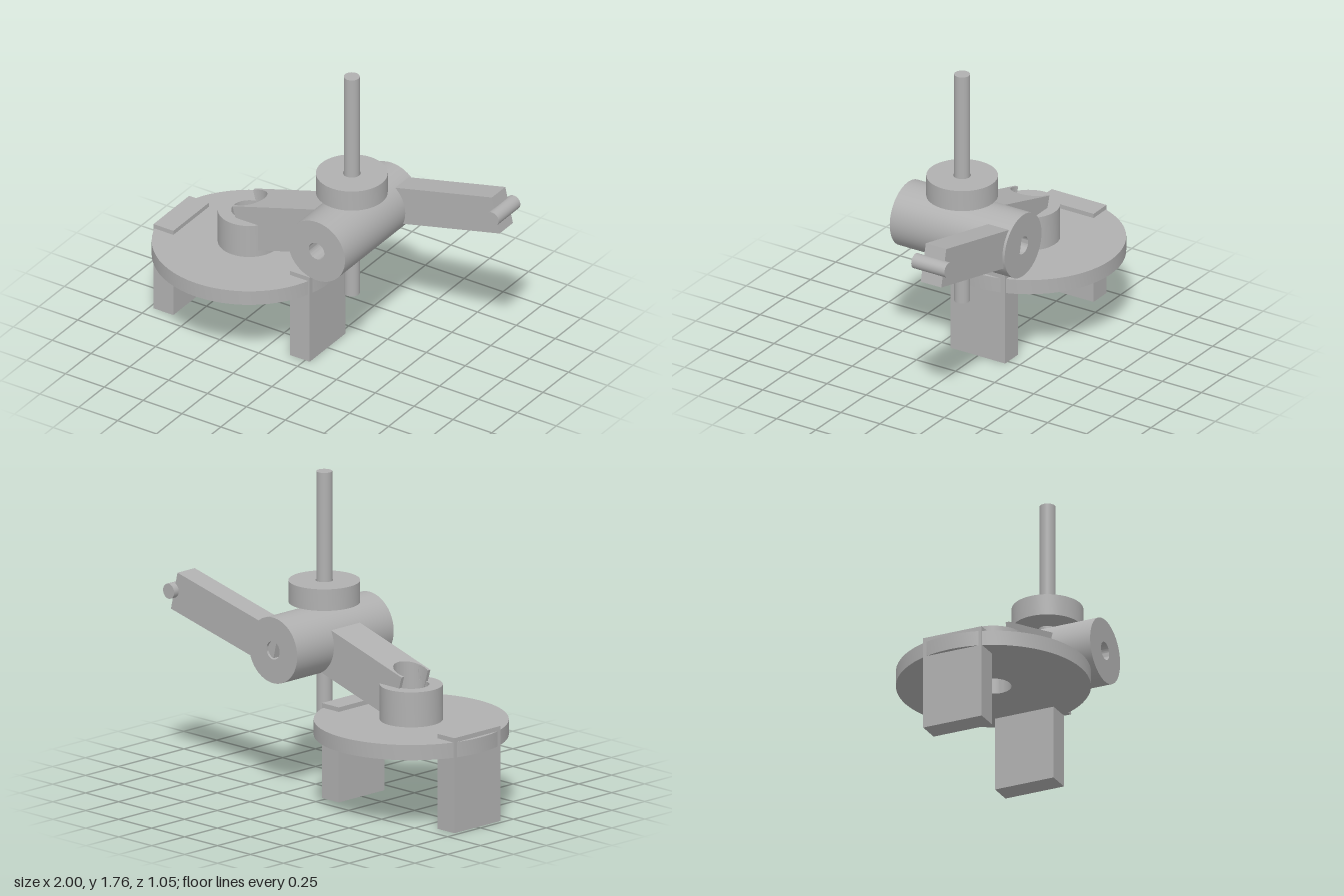
import * as THREE from 'three';
import { toCreasedNormals } from 'three/addons/utils/BufferGeometryUtils.js';

const grey = new THREE.MeshStandardMaterial({ color: 0xb0b0b0 });
grey.name = 'plain grey';

export function createModel() {
  const model = new THREE.Group();
  model.name = 'pivotArmStand';

  const add = (name, geometry, x = 0, y = 0, z = 0) => {
    const mesh = new THREE.Mesh(geometry, grey);
    mesh.name = name;
    mesh.position.set(x, y, z);
    model.add(mesh);
    return mesh;
  };
  // Turned part: closed profile of [radius, height] pairs, sharp at its rims
  const turned = (profile) => toCreasedNormals(new THREE.LatheGeometry(
    [...profile, profile[0]].map(([r, h]) => new THREE.Vector2(r, h)), 64), 0.6);
  const ring = (inner, outer, h) => turned([[inner, 0], [outer, 0], [outer, h], [inner, h]]);

  const baseX = -0.475, bore = 0.097;
  const hubX = 0.185, hubY = 0.835;

  // Round base with raised boss, bored right through
  add('baseAndBoss', turned([
    [bore, 0.42], [0.525, 0.42], [0.525, 0.505], [0.17, 0.505], [0.17, 0.7], [bore, 0.7],
  ]), baseX);

  // Two block feet that poke slightly above the base
  for (const [name, x] of [['leftFoot', -0.035], ['rightFoot', -0.9125]]) {
    add(name, new THREE.BoxGeometry(0.128, 0.53, 0.35), x, 0.265, 0);
  }

  // Lower arm: plan outline with the bore cut out of its end, then tilted up to the hub
  const tilt = 0.287, half = 0.13, width = 0.11, endX = -0.474;
  const tipX = endX - half * Math.sin(tilt);
  const cut = Math.acos((tipX - baseX) / bore);
  const plan = new THREE.Shape();
  plan.moveTo(tipX, -width);
  plan.lineTo(hubX, -width);
  plan.lineTo(hubX, width);
  plan.lineTo(tipX, width);
  plan.lineTo(tipX, bore * Math.sin(cut));
  plan.absarc(baseX, 0, bore, cut, -cut, true);
  const armGeometry = new THREE.ExtrudeGeometry(plan, { depth: 1, bevelEnabled: false, curveSegments: 32 });
  armGeometry.rotateX(-Math.PI / 2);
  const p = armGeometry.attributes.position;
  for (let i = 0; i < p.count; i++) {
    const t = p.getY(i) > 0.5 ? half : -half;
    const lean = -t * Math.sin(tilt);
    let x = Math.max(p.getX(i), endX + lean);
    if (x > hubX - 0.01) x = hubX + lean;
    p.setX(i, x);
    p.setY(i, hubY + (x - hubX) * Math.tan(tilt) + t / Math.cos(tilt));
  }
  armGeometry.computeVertexNormals();
  add('lowerArm', toCreasedNormals(armGeometry, 0.5));

  // Horizontal hub barrel with a small bore along its axis
  const hubGeometry = ring(0.05, 0.183, 0.735);
  hubGeometry.rotateX(Math.PI / 2);
  add('hubBarrel', hubGeometry, hubX, hubY, -0.39);

  // Upper arm, starting on the hub axis
  const reach = 0.786, rise = 0.232;
  const upper = add('upperArm', new THREE.BoxGeometry(reach, 0.216, 0.131),
    hubX + Math.cos(rise) * reach / 2, hubY + Math.sin(rise) * reach / 2, -0.31);
  upper.rotation.z = rise;

  // Cross pin at the tip of the upper arm
  const pin = new THREE.CylinderGeometry(0.042, 0.042, 0.212, 32);
  pin.rotateX(Math.PI / 2);
  add('tipPin', pin, 0.957, 1.018, -0.305);

  // Upright rod through the hub, with a loose collar above
  add('uprightRod', new THREE.CylinderGeometry(0.043, 0.043, 1.36, 32), hubX, 1.08, 0);
  add('collar', ring(0.048, 0.193, 0.12), hubX, 1.032, 0);

  return model;
}
